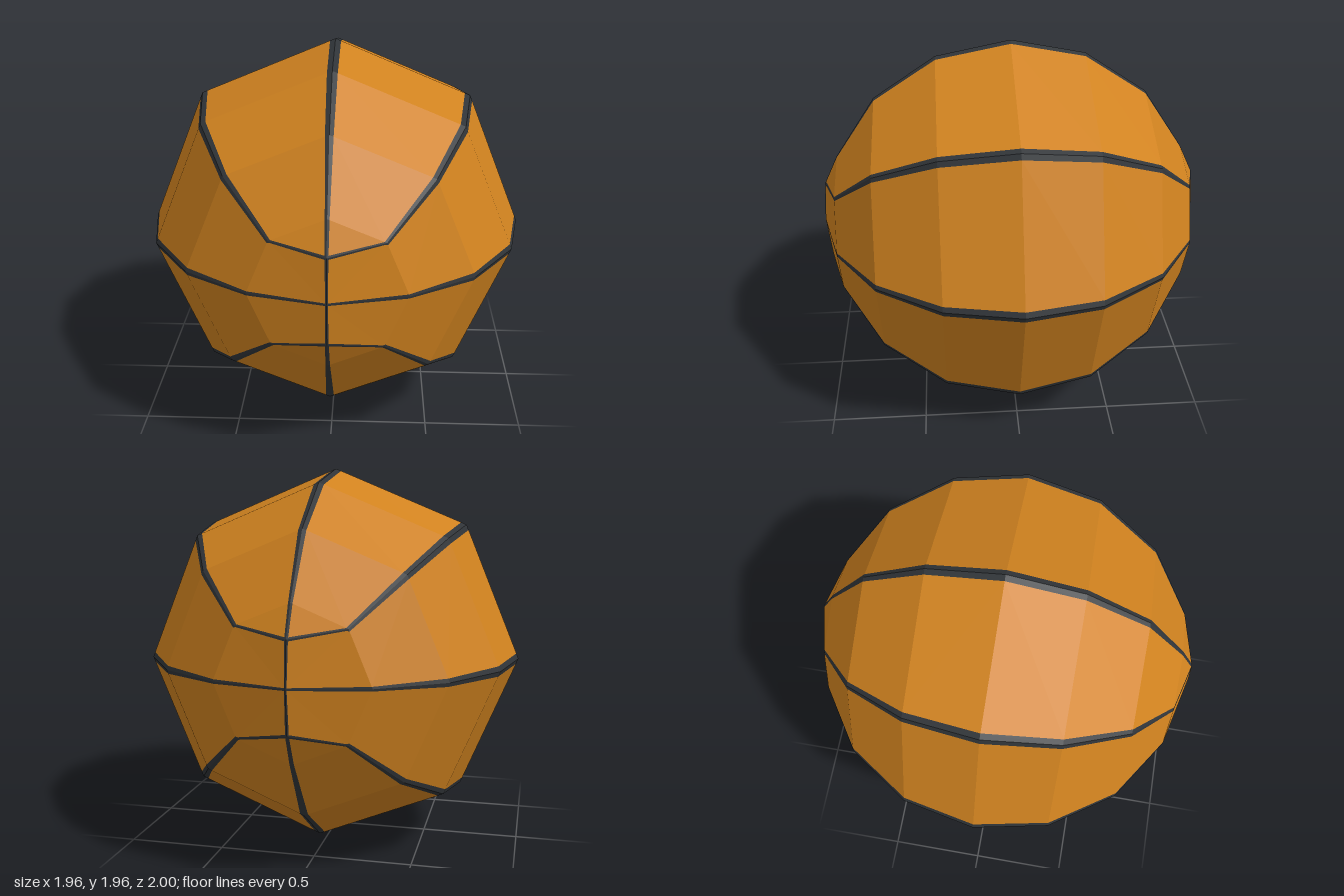
import * as THREE from 'three';

const R = 0.98;          // ball radius
const SEAM = 0.04;       // share of a facet's width taken by each half seam
const HALF = 0.009;      // half width of the fine seams near the poles

// Point on the faceted sphere: ring k counts from the pole, angle in degrees around z
function ringPoint(k, deg) {
  const a = k * Math.PI / 8, b = THREE.MathUtils.degToRad(deg), r = R * Math.sin(a);
  return new THREE.Vector3(r * Math.cos(b), r * Math.sin(b), R * Math.cos(a));
}
const mix = (a, b, t) => a.clone().lerp(b, t);
const step = (a, b, d) => mix(a, b, d / a.distanceTo(b));

// Corner c moved inwards by HALF from both edges c-a and c-b
function insetCorner(c, a, b) {
  const u = a.clone().sub(c).normalize(), w = b.clone().sub(c).normalize();
  return c.clone().addScaledVector(u.clone().add(w), HALF / Math.sin(u.angleTo(w)));
}

// One eighth of the ball as convex polygons, sorted into panels and seams
function buildOctant() {
  const panels = [], seams = [];

  // Facets between the rings, with a half seam along both meridians
  for (const deg of [0, 45]) {
    for (let k = 1; k < 4; k++) {
      const a = ringPoint(k, deg), b = ringPoint(k, deg + 45);
      const c = ringPoint(k + 1, deg + 45), d = ringPoint(k + 1, deg);
      const a2 = mix(a, b, SEAM), b2 = mix(b, a, SEAM);
      const c2 = mix(c, d, SEAM), d2 = mix(d, c, SEAM);
      panels.push([a2, b2, c2, d2]);
      seams.push([a, a2, d2, d], [b2, b, c, c2]);
    }
  }

  // Cap: the diagonal seam bends over to meet the upright one at v
  const pole = new THREE.Vector3(0, 0, 1);
  const v = new THREE.Vector3(0, 0.22, 0.98);
  const side = ringPoint(1, 0), diag = ringPoint(1, 45), up = ringPoint(1, 90);
  const poleIn = step(pole, diag, HALF), diagIn = step(diag, pole, HALF * 1.3);

  // Side triangle
  const sideIn = mix(side, diag, SEAM), diagSide = mix(diag, side, SEAM);
  panels.push([poleIn, sideIn, diagSide, diagIn]);
  seams.push([pole, side, sideIn, poleIn], [diag, diagIn, diagSide]);

  // Middle triangle
  const vLow = insetCorner(v, pole, diag);
  panels.push([poleIn, diagIn, vLow]);
  seams.push([pole, poleIn, vLow, v], [v, vLow, diagIn, diag]);

  // Upper triangle
  const vHigh = insetCorner(v, diag, up);
  const upIn = mix(up, diag, SEAM), diagUp = mix(diag, up, SEAM);
  panels.push([vHigh, diagUp, upIn]);
  seams.push([v, diag, diagUp, vHigh], [v, vHigh, upIn, up]);

  return { panels, seams };
}

// Mirror the polygons into all eight octants as flat, outward-facing triangles
function mirroredMesh(name, polygons, color) {
  const pos = [];
  for (const sx of [1, -1]) for (const sy of [1, -1]) for (const sz of [1, -1]) {
    const s = new THREE.Vector3(sx, sy, sz);
    for (const poly of polygons) {
      const p = poly.map(q => q.clone().multiply(s));
      for (let i = 1; i < p.length - 1; i++) {
        const normal = p[i].clone().sub(p[0]).cross(p[i + 1].clone().sub(p[0]));
        const tri = normal.dot(p[0]) > 0 ? [p[0], p[i], p[i + 1]] : [p[0], p[i + 1], p[i]];
        tri.forEach(q => pos.push(q.x, q.y, q.z));
      }
    }
  }
  const geo = new THREE.BufferGeometry();
  geo.setAttribute('position', new THREE.Float32BufferAttribute(pos, 3));
  geo.computeVertexNormals();
  const mesh = new THREE.Mesh(geo, new THREE.MeshStandardMaterial({ color, flatShading: true }));
  mesh.name = name;
  mesh.position.y = R;
  return mesh;
}

export function createModel() {
  const group = new THREE.Group();
  group.name = 'basketball';
  const { panels, seams } = buildOctant();
  group.add(mirroredMesh('panels', panels, 0xd0821f));
  group.add(mirroredMesh('seams', seams, 0x303438));
  return group;
}
